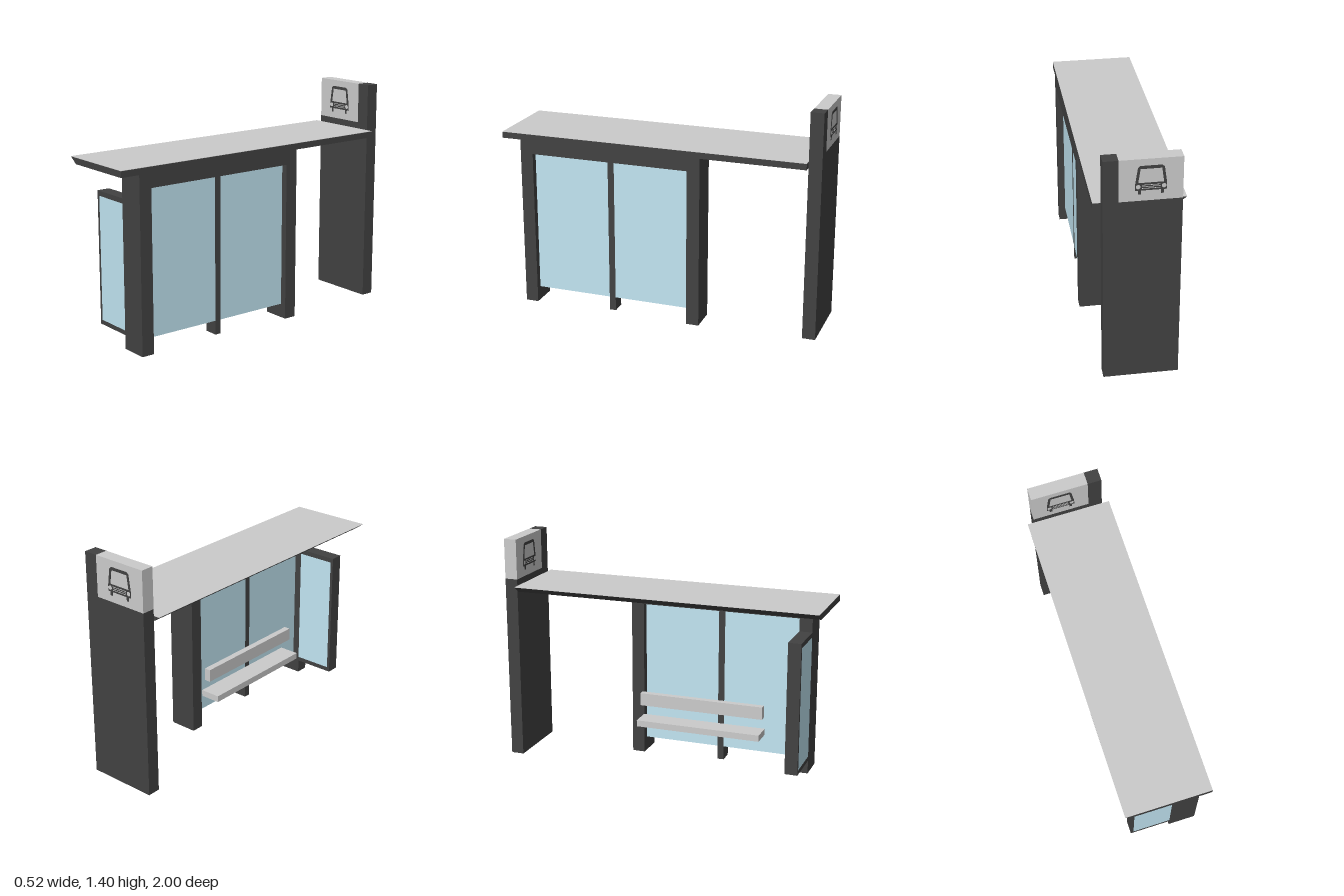
import * as THREE from 'three';

const mat = (color) => new THREE.MeshStandardMaterial({ color });
const grey = mat(0xcccccc);
const dark = mat(0x424242);
const glass = mat(0xc2e6f3);

export function createModel() {
  const model = new THREE.Group();

  const add = (name, geometry, material, parent = model) => {
    const mesh = new THREE.Mesh(geometry, material);
    mesh.name = name;
    parent.add(mesh);
    return mesh;
  };

  // Box given by its limits on each axis
  const box = (name, material, [x0, x1], [y0, y1], [z0, z1], parent) => {
    const mesh = add(name, new THREE.BoxGeometry(x1 - x0, y1 - y0, z1 - z0), material, parent);
    mesh.position.set((x0 + x1) / 2, (y0 + y1) / 2, (z0 + z1) / 2);
    return mesh;
  };

  const outline = (points) => new THREE.Shape(points.map(([x, y]) => new THREE.Vector2(x, y)));
  const extrude = (shape, depth) =>
    new THREE.ExtrudeGeometry(shape, { depth, bevelEnabled: false });

  // Roof slab with a knife edge on the open side, and its pale top sheet
  const roofProfile = outline([[-0.26, 1.108], [-0.208, 1.07], [0.26, 1.07], [0.26, 1.108]]);
  add('roof', extrude(roofProfile, 1.92), dark).position.z = -0.92;
  box('roofTop', grey, [-0.26, 0.26], [1.108, 1.11], [-0.92, 1]);

  // Frame of the long wall
  const postX = [0.085, 0.26];
  box('frontPost', dark, postX, [0, 1.07], [0.8, 0.88]);
  box('backPost', dark, postX, [0, 1.07], [-0.28, -0.2]);
  box('beam', dark, postX, [0.985, 1.07], [-0.2, 0.8]);

  // Thick panes on either side of the middle post
  const paneX = [0.13, 0.22];
  box('middlePost', dark, paneX, [0, 0.985], [0.28, 0.32]);
  box('frontPane', glass, paneX, [0.088, 0.985], [0.32, 0.8]);
  box('backPane', glass, paneX, [0.088, 0.985], [-0.2, 0.28]);

  // Side screen: a frame on three sides of a pane, next to the front post
  const screen = new THREE.Group();
  screen.name = 'sideScreen';
  model.add(screen);
  const screenZ = [0.8, 0.88];
  box('screenEdge', dark, [-0.175, -0.157], [0.085, 0.905], screenZ, screen);
  box('screenBottom', dark, [-0.157, 0.085], [0.085, 0.113], screenZ, screen);
  box('screenTop', dark, [-0.157, 0.085], [0.875, 0.905], screenZ, screen);
  box('screenPane', glass, [-0.157, 0.085], [0.113, 0.875], screenZ, screen);

  // Bench
  box('benchSeat', grey, [-0.05, 0.08], [0.22, 0.26], [-0.2, 0.6]);
  box('benchBack', grey, [0.015, 0.055], [0.34, 0.42], [-0.2, 0.6]);

  // Sign pillar: wide base, side strip and a pale sign block
  const pillarZ = [-1, -0.92];
  box('pillar', dark, [-0.22, 0.215], [0, 1.15], pillarZ);
  box('pillarStrip', dark, [0.13, 0.215], [1.15, 1.4], pillarZ);
  box('signBlock', grey, [-0.22, 0.13], [1.15, 1.4], pillarZ);

  // Plain vehicle pictogram, centred on x = 0
  const makePictogram = () => {
    const icon = new THREE.Group();
    icon.name = 'pictogram';
    const body = outline([
      [-0.086, 1.213], [0.086, 1.213], [0.086, 1.25], [0.072, 1.348],
      [0.06, 1.36], [-0.06, 1.36], [-0.072, 1.348], [-0.086, 1.25],
    ]);
    body.holes.push(outline([[-0.07, 1.258], [-0.058, 1.342], [0.058, 1.342], [0.07, 1.258]]));
    add('vehicleBody', extrude(body, 0.002), dark, icon);
    for (const side of [-1, 1]) {
      box('wheel', dark, [side * 0.062 - 0.008, side * 0.062 + 0.008],
        [1.19, 1.213], [0, 0.002], icon);
      const lamp = add('headlight', new THREE.CircleGeometry(0.013, 20), grey, icon);
      lamp.position.set(side * 0.07, 1.236, 0.003);
    }
    for (const y of [1.224, 1.234, 1.244]) {
      box('grilleBar', grey, [-0.05, 0.05], [y, y + 0.003], [0.001, 0.003], icon);
    }
    return icon;
  };
  const frontIcon = makePictogram();
  frontIcon.position.set(-0.045, 0, -0.92);
  const backIcon = makePictogram();
  backIcon.position.set(-0.045, 0, -1);
  backIcon.rotation.y = Math.PI;
  model.add(frontIcon, backIcon);

  return model;
}
